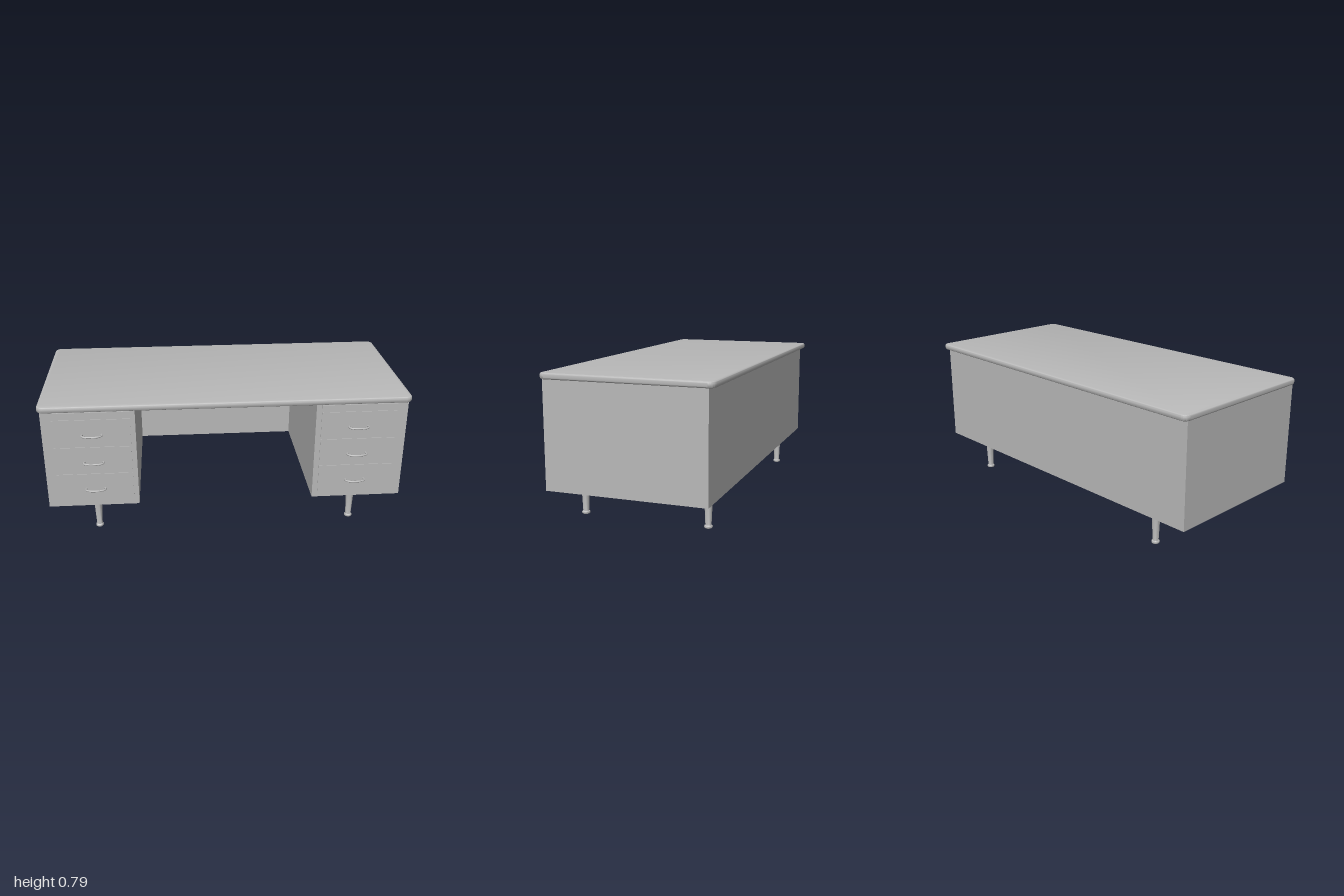
import * as THREE from 'three';
import { toCreasedNormals } from 'three/addons/utils/BufferGeometryUtils.js';

export function createModel() {
  const desk = new THREE.Group();
  desk.name = 'desk';
  const gray = new THREE.MeshStandardMaterial({ color: 0xb8b8b8 });
  gray.name = 'painted gray';

  const add = (parent, name, geometry, x = 0, y = 0, z = 0) => {
    const mesh = new THREE.Mesh(geometry, gray);
    mesh.name = name;
    mesh.position.set(x, y, z);
    parent.add(mesh);
    return mesh;
  };
  // Box given by its limits on each axis
  const box = (parent, name, x0, x1, y0, y1, z0, z1) =>
    add(parent, name, new THREE.BoxGeometry(x1 - x0, y1 - y0, z1 - z0),
      (x0 + x1) / 2, (y0 + y1) / 2, (z0 + z1) / 2);

  // Desktop: rounded corners and a softened edge
  const bevel = 0.01, w = 1 - bevel, d = 0.457 - bevel, r = 0.025;
  const outline = new THREE.Shape();
  outline.moveTo(-w + r, -d);
  outline.lineTo(w - r, -d);
  outline.absarc(w - r, -d + r, r, -Math.PI / 2, 0);
  outline.absarc(w - r, d - r, r, 0, Math.PI / 2);
  outline.absarc(-w + r, d - r, r, Math.PI / 2, Math.PI);
  outline.absarc(-w + r, -d + r, r, Math.PI, Math.PI * 1.5);
  const slab = new THREE.ExtrudeGeometry(outline, {
    depth: 0.033 - 2 * bevel, bevelThickness: bevel, bevelSize: bevel, bevelSegments: 4, curveSegments: 8,
  });
  slab.rotateX(-Math.PI / 2);
  add(desk, 'desktop', toCreasedNormals(slab, 0.6), 0, 0.757 + bevel, -0.014);

  // Modesty panel across the back of the knee space
  box(desk, 'backPanel', -0.49, 0.482, 0.187, 0.757, -0.438, -0.42);

  // Leg: tapered post with a rounded foot
  const legProfile = [[0, 0], [0.019, 0], [0.022, 0.004], [0.022, 0.01], [0.019, 0.014],
    [0.016, 0.016], [0.023, 0.184], [0, 0.184]].map(([x, y]) => new THREE.Vector2(x, y));
  const legGeometry = toCreasedNormals(new THREE.LatheGeometry(legProfile, 24), 0.7);

  // Drawer pull: a bowed bar that returns to the drawer front
  const pullPath = new THREE.CatmullRomCurve3([
    [-0.05, 0], [-0.054, 0.01], [-0.05, 0.024], [-0.03, 0.034], [0, 0.037],
    [0.03, 0.034], [0.05, 0.024], [0.054, 0.01], [0.05, 0],
  ].map(([x, z]) => new THREE.Vector3(x, 0, z)));
  const pullGeometry = new THREE.TubeGeometry(pullPath, 40, 0.005, 8);

  // Pedestals, each with three drawers, a pull-out board and two legs
  const front = 0.428, face = 0.432;
  const sides = [
    { name: 'rightPedestal', x0: -0.985, x1: -0.489, d0: -0.928, d1: -0.516, leg: -0.727 },
    { name: 'leftPedestal', x0: 0.481, x1: 0.981, d0: 0.511, d1: 0.922, leg: 0.722 },
  ];
  for (const s of sides) {
    const pedestal = new THREE.Group();
    pedestal.name = s.name;
    desk.add(pedestal);
    box(pedestal, 'cabinet', s.x0, s.x1, 0.187, 0.757, -0.438, front);
    box(pedestal, 'pullOutBoard', s.d0, s.d1, 0.731, 0.753, 0.4, 0.435);

    const middle = (s.d0 + s.d1) / 2;
    [0.297, 0.46, 0.623].forEach((handleY, i) => {
      const y0 = 0.225 + i * 0.162;
      box(pedestal, 'drawerFront', s.d0, s.d1, y0 + 0.0015, y0 + 0.1605, 0.41, face);
      add(pedestal, 'drawerPull', pullGeometry, middle, handleY, face - 0.001);
    });

    for (const z of [0.343, -0.351]) {
      box(pedestal, 'legPlate', s.leg - 0.047, s.leg + 0.047, 0.183, 0.188, z - 0.047, z + 0.047);
      add(pedestal, 'leg', legGeometry, s.leg, 0, z);
    }
  }
  return desk;
}
